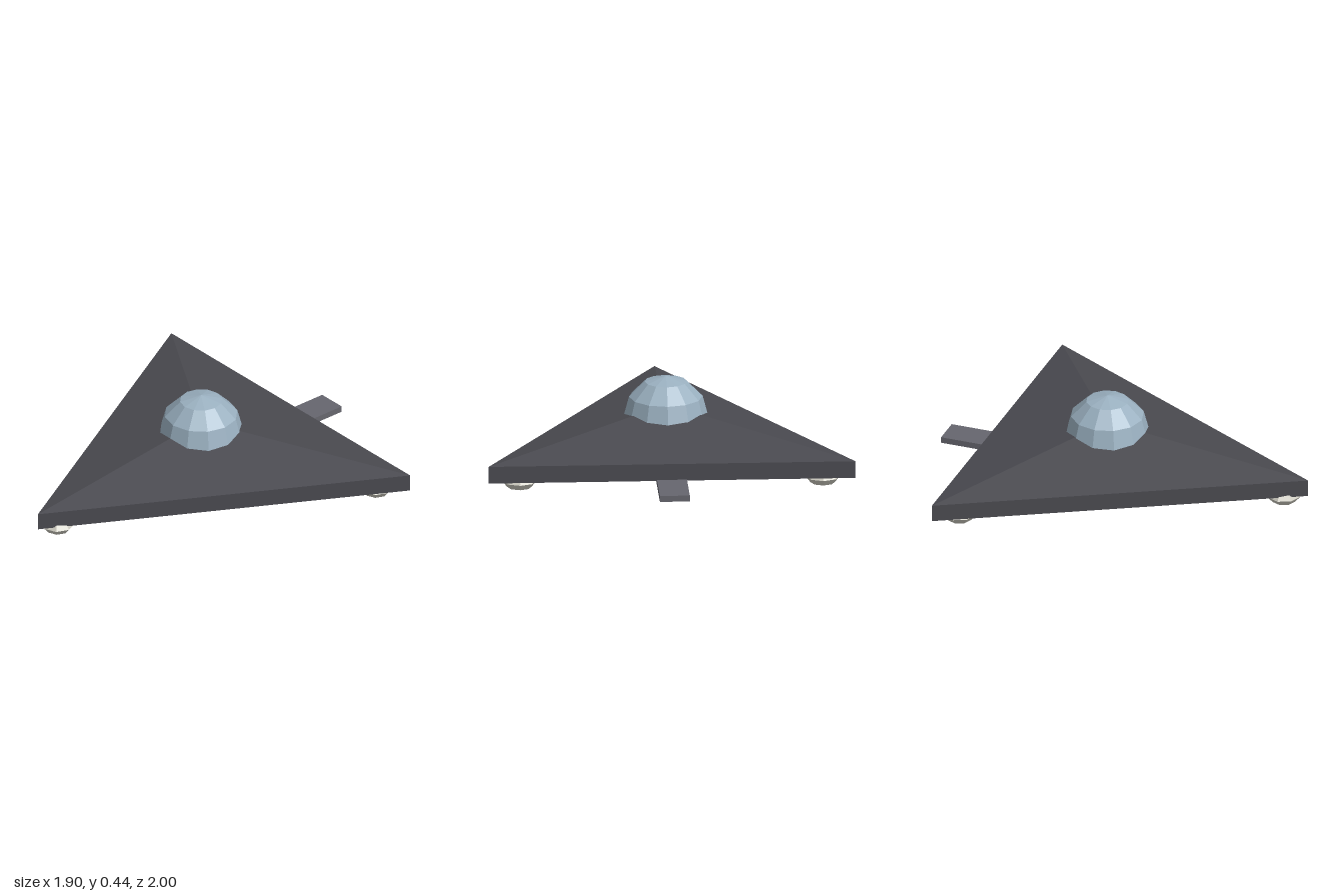
import * as THREE from 'three';

function addPart(group, name, geometry, color, x, y, z) {
  const material = new THREE.MeshStandardMaterial({ color, flatShading: true });
  const mesh = new THREE.Mesh(geometry, material);
  mesh.name = name;
  mesh.position.set(x, y, z);
  group.add(mesh);
  return mesh;
}

// Triangular slab with a low pyramid roof; corners run counter-clockwise from above
function hullGeometry(corners, bottom, rim, apex) {
  const points = [];
  const low = ([x, z]) => [x, bottom, z];
  const high = ([x, z]) => [x, rim, z];
  corners.forEach((a, i) => {
    const b = corners[(i + 1) % corners.length];
    points.push(low(a), low(b), high(b), low(a), high(b), high(a)); // side wall
    points.push(high(a), high(b), apex); // roof
  });
  points.push(...[...corners].reverse().map(low)); // underside
  const geometry = new THREE.BufferGeometry();
  geometry.setAttribute('position', new THREE.Float32BufferAttribute(points.flat(), 3));
  geometry.computeVertexNormals();
  return geometry;
}

export function createModel() {
  const model = new THREE.Group();
  model.name = 'triangularCraft';

  const corners = [[-0.95, -0.72], [0, 1], [0.95, -0.72]];
  addPart(model, 'hull', hullGeometry(corners, 0.06, 0.15, [0, 0.285, -0.11]), 0x4a4a50, 0, 0, 0);

  // Faceted canopy over the roof peak
  const dome = new THREE.SphereGeometry(0.22, 12, 3, 0, Math.PI * 2, 0, Math.PI / 2);
  const canopy = addPart(model, 'canopy', dome, 0x9ab0c0, 0, 0.22, -0.11);
  canopy.material.side = THREE.DoubleSide;

  // Beam running under the hull and out of the back
  addPart(model, 'keelBeam', new THREE.BoxGeometry(0.155, 0.032, 1.72), 0x66666e, 0, 0.049, -0.14);

  // Disc on the underside
  addPart(model, 'bellyDisc', new THREE.CylinderGeometry(0.168, 0.168, 0.045, 10), 0xdd5a4c, 0, 0.0395, -0.167);

  // Flattened round pads under the three corners
  const pad = new THREE.SphereGeometry(0.09, 8, 4).scale(1, 0.5, 1);
  [['rightRearPad', -0.785, -0.63], ['leftRearPad', 0.785, -0.63], ['frontPad', 0, 0.865]].forEach(
    ([name, x, z]) => addPart(model, name, pad, 0xcccabf, x, 0.045, z));

  return model;
}
